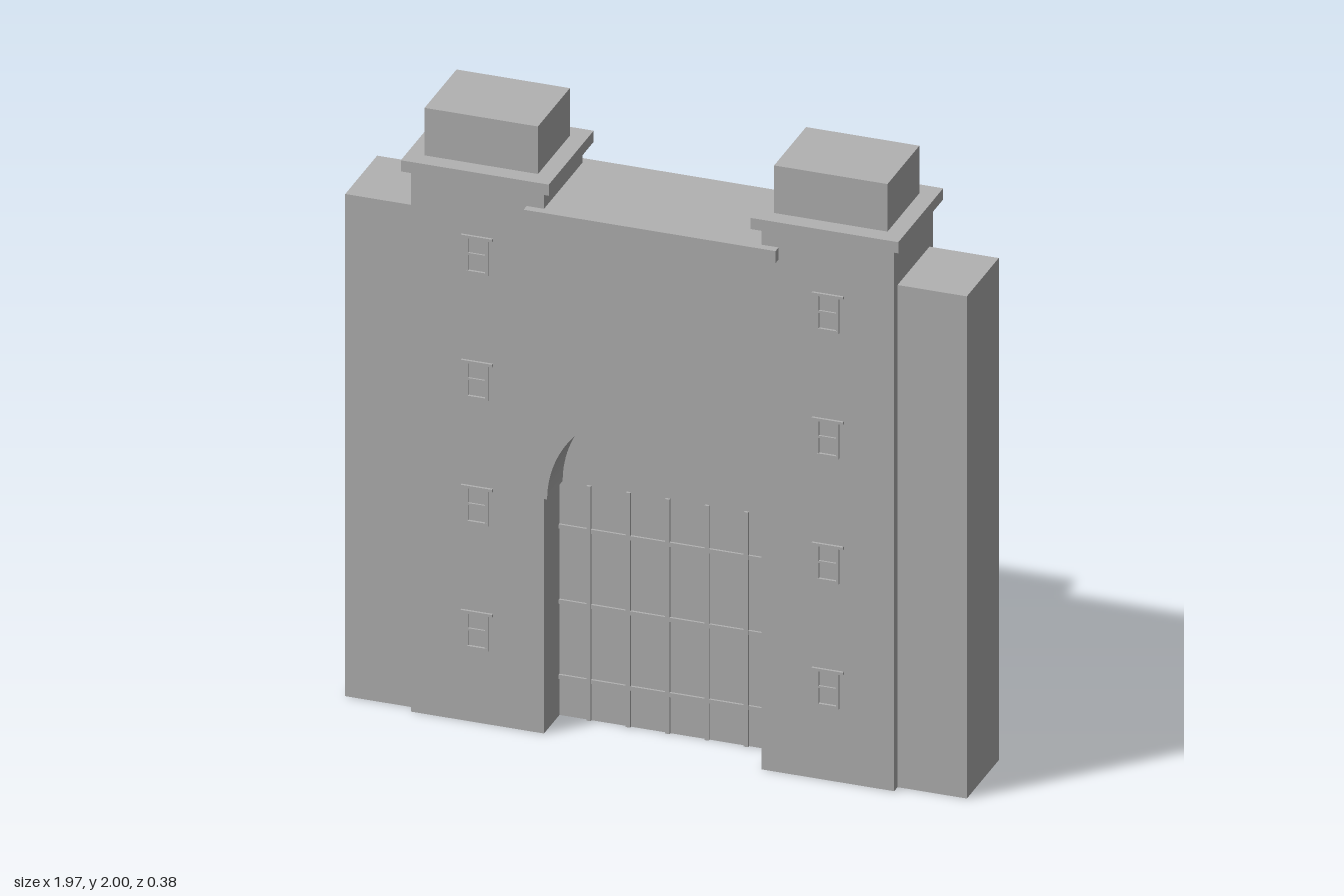
import * as THREE from 'three';

export function createModel() {
  const model = new THREE.Group();
  model.name = 'gatehouse';
  const stone = new THREE.MeshStandardMaterial({ color: 0xb2b2b2 });
  stone.name = 'grey stone';

  const add = (geometry, name, parent = model) => {
    const mesh = new THREE.Mesh(geometry, stone);
    mesh.name = name;
    parent.add(mesh);
    return mesh;
  };
  // Box given by its centre in x and z, its bottom and its size
  const box = (name, x, bottom, z, w, h, d, parent) => {
    const mesh = add(new THREE.BoxGeometry(w, h, d), name, parent);
    mesh.position.set(x, bottom + h / 2, z);
    return mesh;
  };
  const extrude = (shape, depth) => {
    const g = new THREE.ExtrudeGeometry(shape, { depth, bevelEnabled: false, curveSegments: 32 });
    return g.translate(0, 0, -depth / 2);
  };

  // Wall with two raised towers and an arched passage
  const wall = new THREE.Shape();
  wall.moveTo(-0.767, 0);
  wall.lineTo(-0.345, 0);
  wall.lineTo(-0.345, 0.78);
  wall.lineTo(-0.335, 0.78);
  wall.absarc(0, 0.78, 0.335, Math.PI, 0, true);
  wall.lineTo(0.345, 0.78);
  wall.lineTo(0.345, 0);
  wall.lineTo(0.767, 0);
  wall.lineTo(0.767, 1.805);
  wall.lineTo(0.345, 1.805);
  wall.lineTo(0.345, 1.74);
  wall.lineTo(-0.345, 1.74);
  wall.lineTo(-0.345, 1.805);
  wall.lineTo(-0.767, 1.805);
  wall.closePath();
  add(extrude(wall, 0.332), 'archedWall');

  // Gate panel closing the passage
  const panel = new THREE.Shape();
  panel.moveTo(-0.345, 0);
  panel.lineTo(0.345, 0);
  panel.lineTo(0.345, 0.78);
  panel.lineTo(0.335, 0.78);
  panel.absarc(0, 0.78, 0.335, 0, Math.PI, false);
  panel.lineTo(-0.345, 0.78);
  panel.closePath();
  add(extrude(panel, 0.066), 'gatePanel');

  // Gate bars, standing proud on both faces
  const bars = new THREE.Group();
  bars.name = 'gateBars';
  model.add(bars);
  for (let i = -2; i <= 2; i++) box('uprightBar', i * 0.125, 0, 0, 0.014, 0.78, 0.082, bars);
  for (const y of [0.13, 0.38, 0.63]) box('crossBar', 0, y - 0.007, 0, 0.69, 0.014, 0.08, bars);

  // Ledge across the top of the wall
  box('topLedge', 0, 1.705, 0, 0.8, 0.04, 0.385);

  // Window trim: lintel, sill, two posts and a middle bar
  const addWindow = (x, y, side) => {
    const win = new THREE.Group();
    win.name = 'window';
    win.position.set(x, y, side * 0.168);
    model.add(win);
    box('lintel', 0, 0.116, 0, 0.1, 0.009, 0.012, win);
    box('sill', 0, 0, 0, 0.065, 0.009, 0.012, win);
    box('middleBar', 0, 0.06, 0, 0.065, 0.007, 0.008, win);
    for (const s of [-1, 1]) box('post', s * 0.032, 0, 0, 0.009, 0.12, 0.01, win);
  };

  for (const s of [-1, 1]) {
    // Side wing, tower cap and top block
    box('sideWing', s * 0.872, 0, 0, 0.23, 1.67, 0.274);
    box('towerCap', s * 0.555, 1.805, 0, 0.47, 0.037, 0.385);
    box('towerTop', s * 0.555, 1.84, 0, 0.36, 0.16, 0.274);
    for (let row = 0; row < 4; row++) {
      for (const side of [-1, 1]) addWindow(s * 0.557, 0.245 + row * 0.416, side);
    }
  }
  return model;
}
